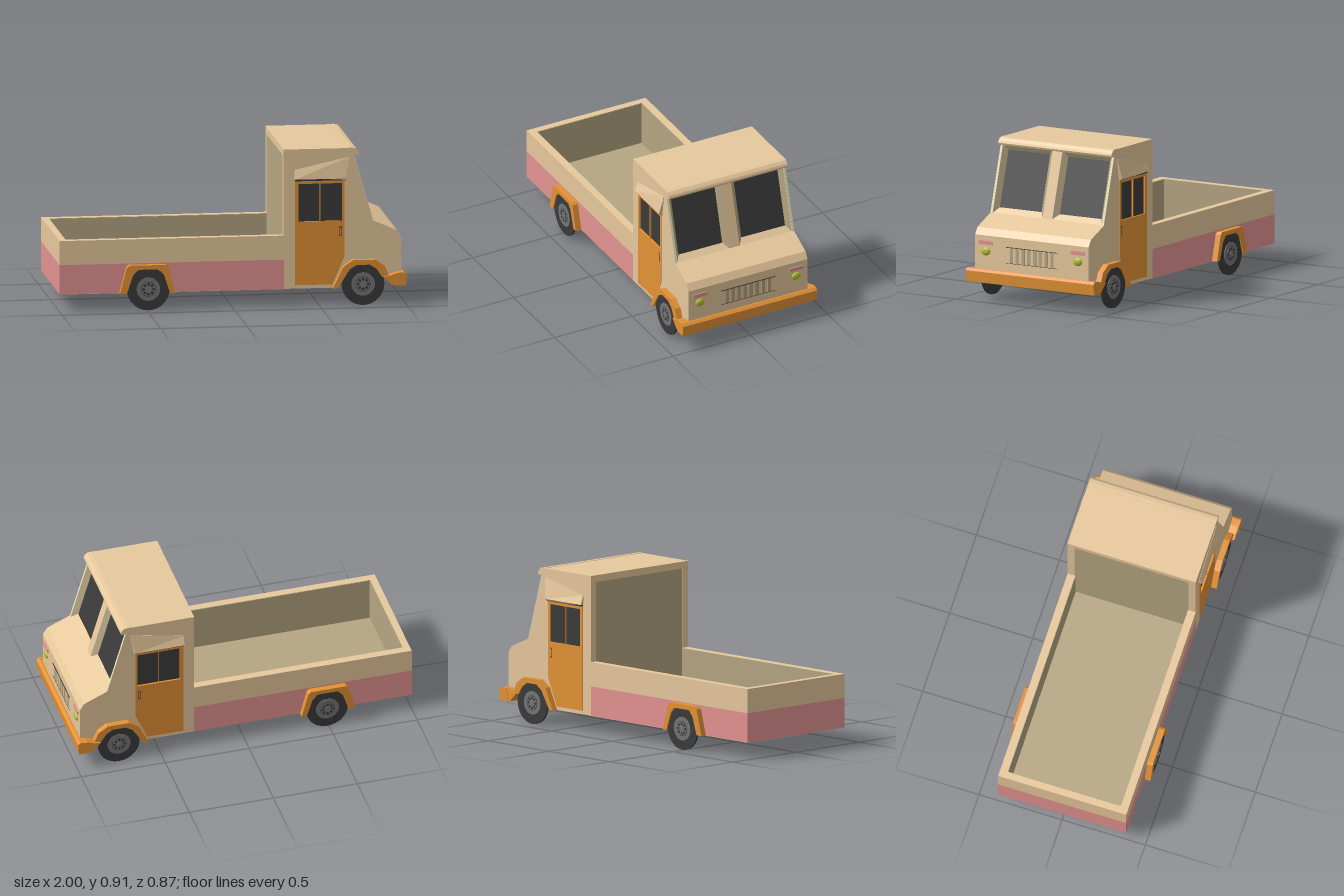
import * as THREE from 'three';

const mat = (name, color, double = false) => {
  const m = new THREE.MeshStandardMaterial({ color });
  m.name = name;
  if (double) m.side = THREE.DoubleSide;
  return m;
};

export function createModel() {
  const tan = mat('tan paint', 0xe7c89c, true);
  const orange = mat('orange trim', 0xe39235);
  const pink = mat('pink band', 0xe39391);
  const grey = mat('lining grey', 0xb5a582, true);
  const glass = mat('dark glass', 0x3b3b3b, true);
  const rubber = mat('tyre black', 0x3a3a3a);
  const steel = mat('wheel grey', 0x767676);
  const lampGreen = mat('lamp green', 0xb6be35);
  const pale = mat('pale post', 0xece8bc);

  const truck = new THREE.Group();
  truck.name = 'pickupTruck';

  const add = (name, geo, material, parent = truck) => {
    const m = new THREE.Mesh(geo, material);
    m.name = name;
    parent.add(m);
    return m;
  };
  // Box given by its limits on each axis
  const box = (name, material, [x0, x1], [y0, y1], [z0, z1]) => {
    const g = new THREE.BoxGeometry(x1 - x0, y1 - y0, z1 - z0);
    g.translate((x0 + x1) / 2, (y0 + y1) / 2, (z0 + z1) / 2);
    return add(name, g, material);
  };
  const vecs = (pts) => pts.map(([x, y]) => new THREE.Vector2(x, y));
  // Side profile (x, y) extruded between two z values
  const ext = (name, material, pts, z0, z1, holes = []) => {
    const s = new THREE.Shape(vecs(pts));
    holes.forEach((h) => s.holes.push(new THREE.Path(vecs(h))));
    const g = new THREE.ExtrudeGeometry(s, { depth: z1 - z0, bevelEnabled: false });
    g.translate(0, 0, z0);
    return add(name, g, material);
  };
  // Limits mirrored to side s
  const side = (s, a, b) => (s > 0 ? [a, b] : [-b, -a]);

  // Cargo bed
  const W = 0.385;
  box('bedFloor', grey, [-0.96, 0.3], [0.102, 0.145], [-0.342, 0.342]);
  box('bedUnderside', tan, [-0.998, 0.316], [0.098, 0.103], [-0.383, 0.383]);
  box('rearUnderSlot', rubber, [-0.985, -0.958], [0.096, 0.1], [-0.34, 0.34]);
  for (const [name, m, y] of [['Lower', pink, [0.1, 0.27]], ['Upper', tan, [0.27, 0.41]]]) {
    box('tailWall' + name, m, [-1, -0.96], y, [-W, W]);
    for (const s of [1, -1]) box('bedSide' + name, m, [-0.96, 0.297], y, side(s, 0.34, W));
  }
  box('tailLining', grey, [-0.962, -0.957], [0.13, 0.408], [-0.34, 0.34]);
  for (const s of [1, -1]) box('sideLining', grey, [-0.96, 0.3], [0.13, 0.408], side(s, 0.337, 0.342));

  // Cab shell, open underneath
  const doorShape = [[0.36, 0.12], [0.575, 0.12], [0.645, 0.28], [0.645, 0.735], [0.36, 0.735]];
  const doorWindow = [[0.38, 0.489], [0.632, 0.489], [0.632, 0.708], [0.38, 0.708]];
  const cabSide = [[0.295, 0.1], [0.6, 0.1], [0.635, 0.16], [0.67, 0.21], [0.71, 0.236], [0.79, 0.236],
    [0.83, 0.21], [0.862, 0.165], [0.88, 0.15], [0.975, 0.15], [0.975, 0.385], [0.95, 0.425],
    [0.81, 0.487], [0.7, 0.87], [0.7, 0.91], [0.295, 0.91]];
  for (const s of [1, -1]) {
    ext('cabSide', tan, cabSide, ...side(s, 0.37, W), [doorShape]);
    box('cabRearPost', tan, [0.295, 0.315], [0.1, 0.9], side(s, 0.343, 0.372));
    ext('door', orange, doorShape, ...side(s, 0.365, 0.388), [doorWindow]);
    box('doorGlass', glass, [0.375, 0.636], [0.484, 0.713], side(s, 0.371, 0.377));
    box('windowDivider', orange, [0.504, 0.506], [0.489, 0.708], side(s, 0.366, 0.388));
    box('doorHandle', rubber, [0.614, 0.63], [0.4, 0.455], side(s, 0.386, 0.3895));
    box('doorHandlePlate', orange, [0.617, 0.627], [0.404, 0.451], side(s, 0.389, 0.3905));
    box('doorRail', rubber, [0.36, 0.65], [0.725, 0.735], side(s, 0.38, 0.393));

    // Flared rain hood above the door, running up into the windscreen corner
    const hood = new THREE.BoxGeometry(2, 2, 2);
    const p = hood.attributes.position;
    for (let i = 0; i < p.count; i++) {
      const outer = p.getZ(i) * s > 0;
      const low = p.getY(i) < 0;
      const front = p.getX(i) > 0;
      const x = front ? (low ? 0.652 : 0.675) : 0.358;
      const y = low ? (outer || !front ? 0.737 : 0.715) : front ? 0.86 : 0.79;
      p.setXYZ(i, x, y, s * (outer ? (low ? 0.406 : 0.3865) : 0.38));
    }
    const hoodFaces = hood.toNonIndexed();
    hoodFaces.computeVertexNormals();
    add('doorRainHood', hoodFaces, tan);

    ext('windscreenPost', pale, [[0.699, 0.87], [0.809, 0.487], [0.813, 0.487], [0.703, 0.87]], ...side(s, 0.37, W));
  }
  box('cabRearWall', grey, [0.296, 0.316], [0.103, 0.905], [-0.343, 0.343]);
  ext('roof', tan, [[0.295, 0.87], [0.7, 0.87], [0.7, 0.91], [0.295, 0.91]], -0.3845, 0.3845);
  ext('roofVisor', tan, [[0.67, 0.868], [0.728, 0.868], [0.733, 0.88], [0.728, 0.892], [0.712, 0.908], [0.69, 0.912], [0.67, 0.912]], -W, W);
  ext('hoodAndNose', tan, [[0.78, 0.46], [0.93, 0.4], [0.945, 0.37], [0.945, 0.12], [0.975, 0.12],
    [0.975, 0.385], [0.95, 0.425], [0.81, 0.487], [0.77, 0.487]], -0.3845, 0.3845);
  ext('windscreenPillar', tan, [[0.69, 0.87], [0.8, 0.487], [0.81, 0.487], [0.7, 0.87]], -0.033, 0.033);

  // Windscreens: sloped reveal running from the opening in to the glass
  const quads = (list) => {
    const v = [];
    for (const [a, b, c, d] of list) v.push(...a, ...b, ...c, ...a, ...c, ...d);
    const g = new THREE.BufferGeometry();
    g.setAttribute('position', new THREE.Float32BufferAttribute(v, 3));
    g.computeVertexNormals();
    return g;
  };
  // Corners run bottom outer, bottom inner, top inner, top outer on the +z side
  const corners = (s, [x0, y0], [x1, y1], zOut, zIn) => {
    const c = [[x0, y0, s * zOut], [x0, y0, s * zIn], [x1, y1, s * zIn], [x1, y1, s * zOut]];
    return s > 0 ? c : [c[1], c[0], c[3], c[2]];
  };
  for (const s of [1, -1]) {
    const o = corners(s, [0.81, 0.487], [0.7, 0.87], 0.37, 0.033);
    const n = corners(s, [0.775, 0.515], [0.683, 0.836], 0.345, 0.062);
    const [sill, ...rest] = o.map((q, i) => [q, o[(i + 1) % 4], n[(i + 1) % 4], n[i]]);
    add('windscreenSill', quads([sill]), tan);
    add('windscreenReveal', quads(rest), grey);
    add('windscreenGlass', quads([n]), glass);
  }

  // Grille, lamps and indicators
  for (let i = 0; i < 8; i++) {
    const z = (i - 3.5) * 0.0393;
    box('grilleSlot', grey, [0.972, 0.977], [0.24, 0.328], [z - 0.011, z + 0.011]);
  }
  box('grilleTopEdge', rubber, [0.972, 0.979], [0.329, 0.332], [-0.175, 0.175]);
  box('grilleBottomEdge', rubber, [0.972, 0.977], [0.237, 0.239], [-0.175, 0.175]);
  for (const s of [1, -1]) {
    const lamp = new THREE.SphereGeometry(1, 16, 10);
    lamp.scale(0.013, 0.025, 0.03);
    lamp.translate(0.975, 0.294, s * 0.312);
    add('headlight', lamp, lampGreen);
    box('indicator', pink, [0.97, 0.981], [0.333, 0.355], side(s, 0.267, 0.357));
  }

  // Bumper with wrapped ends
  ext('bumper', orange, [[0.93, 0.112], [0.995, 0.112], [1, 0.175], [0.985, 0.189], [0.94, 0.185]], -0.435, 0.435);
  const bumperEnd = [[0.865, 0.165], [0.915, 0.115], [0.94, 0.112], [0.945, 0.186], [0.9, 0.17]];

  // Wheel arches and wheels
  const frontArch = [[0.575, 0.1], [0.605, 0.1], [0.64, 0.16], [0.672, 0.21], [0.712, 0.235], [0.788, 0.235],
    [0.828, 0.21], [0.86, 0.16], [0.9, 0.165], [0.875, 0.225], [0.82, 0.263], [0.69, 0.263], [0.635, 0.225]];
  const rearArch = [[-0.655, 0.1], [-0.615, 0.1], [-0.58, 0.205], [-0.55, 0.238], [-0.43, 0.238], [-0.4, 0.205],
    [-0.365, 0.1], [-0.335, 0.1], [-0.375, 0.25], [-0.39, 0.263], [-0.6, 0.263], [-0.615, 0.25]];
  const disc = (name, material, r, z0, z1, s, parent, x = 0, y = 0) => {
    const g = new THREE.CylinderGeometry(r, r, z1 - z0, r > 0.05 ? 28 : 12);
    g.rotateX(Math.PI / 2);
    g.translate(x, y, (s * (z0 + z1)) / 2);
    add(name, g, material, parent);
  };
  for (const s of [1, -1]) {
    ext('bumperEnd', orange, bumperEnd, ...side(s, 0.38, 0.432));
    ext('frontArch', orange, frontArch, ...side(s, 0.375, 0.42));
    ext('rearArch', orange, rearArch, ...side(s, 0.375, 0.42));
    for (const [name, x] of [['frontWheel', 0.75], ['rearWheel', -0.49]]) {
      const wheel = new THREE.Group();
      wheel.name = name;
      wheel.position.set(x, 0.123, 0);
      truck.add(wheel);
      disc('tyre', rubber, 0.123, 0.4, 0.412, s, wheel);
      disc('rim', steel, 0.068, 0.405, 0.415, s, wheel);
      disc('hubRecess', rubber, 0.044, 0.41, 0.416, s, wheel);
      disc('hub', steel, 0.041, 0.41, 0.417, s, wheel);
      for (let i = 0; i < 8; i++) {
        const a = (i * Math.PI) / 4;
        disc('hubHole', rubber, 0.008, 0.41, 0.418, s, wheel, 0.029 * Math.cos(a), 0.029 * Math.sin(a));
      }
      disc('hubCap', steel, 0.013, 0.41, 0.42, s, wheel);
    }
  }
  return truck;
}
